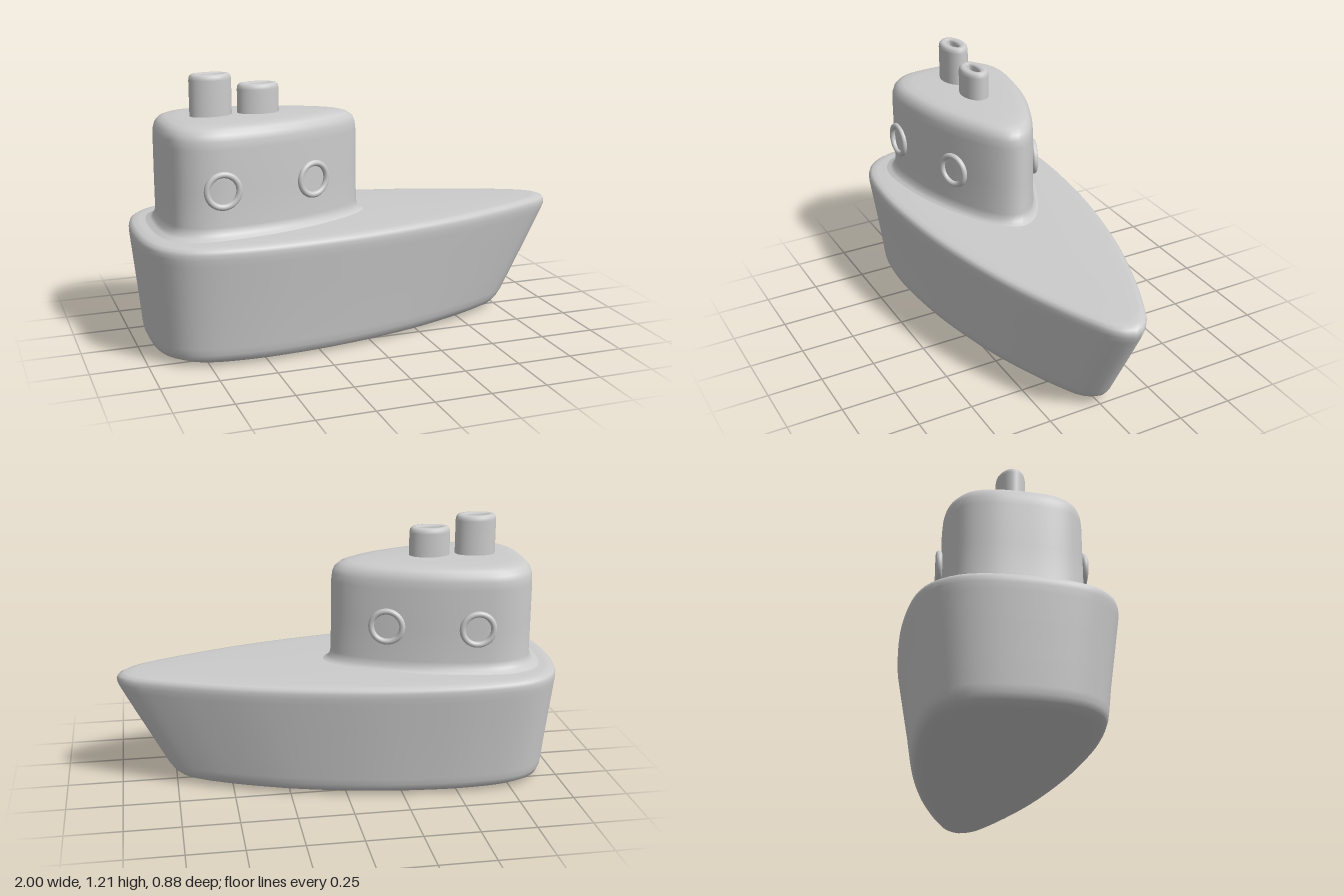
import * as THREE from 'three';

const material = new THREE.MeshStandardMaterial({ color: 0xcccccc });

// Closed smooth outline in plan from half its points (bow to stern), mirrored across z
function outline(half, count) {
  const mirrored = half.slice(1, -1).reverse().map(([x, z]) => [x, -z]);
  const points = [...half, ...mirrored].map(([x, z]) => new THREE.Vector3(x, 0, z));
  const curve = new THREE.CatmullRomCurve3(points, true, 'centripetal');
  return curve.getSpacedPoints(count).slice(0, count);
}

// Stack copies of a ring: each level is [y, xMin, xMax, zScale]
function loft(name, ring, levels) {
  const xs = ring.map((p) => p.x);
  const lo = Math.min(...xs), span = Math.max(...xs) - lo;
  const n = ring.length, positions = [], index = [];
  levels.forEach(([y, x0, x1, s], l) => {
    ring.forEach((p, i) => {
      positions.push(x0 + ((p.x - lo) / span) * (x1 - x0), y, p.z * s);
      if (l === 0) return;
      const j = (i + 1) % n, a = (l - 1) * n, b = l * n;
      index.push(a + i, b + i, a + j, a + j, b + i, b + j);
    });
  });
  const geometry = new THREE.BufferGeometry();
  geometry.setAttribute('position', new THREE.Float32BufferAttribute(positions, 3));
  geometry.setIndex(index);
  geometry.computeVertexNormals();
  const mesh = new THREE.Mesh(geometry, material);
  mesh.name = name;
  return mesh;
}

export function createModel() {
  const model = new THREE.Group();
  model.name = 'boat';

  // Hull: flared sides, raked bow, rounded bottom edge and deck edge
  const hullRing = outline([
    [1, 0], [0.985, 0.04], [0.94, 0.085], [0.85, 0.133], [0.7, 0.198], [0.4, 0.302], [0, 0.392],
    [-0.3, 0.428], [-0.55, 0.437], [-0.78, 0.412], [-0.88, 0.368], [-0.95, 0.29], [-0.985, 0.19], [-1, 0],
  ], 120);
  model.add(loft('hull', hullRing, [
    [0.005, -0.2, -0.2, 0],
    [0.006, -0.6, 0.3, 0.5],
    [0.012, -0.84, 0.6, 0.72],
    [0.02, -0.91, 0.68, 0.8],
    [0.035, -0.945, 0.73, 0.84],
    [0.06, -0.956, 0.762, 0.86],
    [0.09, -0.96, 0.783, 0.87],
    [0.2, -0.97, 0.842, 0.9],
    [0.35, -0.985, 0.922, 0.95],
    [0.47, -0.997, 0.985, 0.99],
    [0.5, -1, 0.998, 1],
    [0.52, -1, 1, 1],
    [0.535, -0.995, 0.992, 0.993],
    [0.545, -0.98, 0.97, 0.968],
    [0.549, -0.95, 0.93, 0.92],
    [0.552, -0.85, 0.75, 0.8],
    [0.556, -0.6, 0.2, 0.4],
    [0.556, -0.3, -0.3, 0],
  ]));

  // Cabin: fillet at the deck, upright wall, rounded roof edge
  const cabinRing = outline([
    [0.025, 0], [0.01, 0.045], [-0.05, 0.105], [-0.2, 0.185], [-0.4, 0.254], [-0.6, 0.288],
    [-0.7, 0.29], [-0.78, 0.268], [-0.84, 0.22], [-0.872, 0.14], [-0.882, 0],
  ], 96);
  model.add(loft('cabin', cabinRing, [
    [0.548, -0.93, 0.08, 1.15],
    [0.559, -0.905, 0.055, 1.08],
    [0.57, -0.892, 0.036, 1.03],
    [0.6, -0.882, 0.027, 1],
    [0.75, -0.882, 0.025, 1],
    [0.93, -0.881, 0.024, 1],
    [0.965, -0.879, 0.02, 0.99],
    [0.99, -0.872, 0.01, 0.965],
    [1.01, -0.855, -0.015, 0.91],
    [1.02, -0.83, -0.05, 0.84],
    [1.026, -0.78, -0.12, 0.7],
    [1.03, -0.62, -0.3, 0.3],
    [1.03, -0.48, -0.48, 0],
  ]));

  // Oval funnels with a narrow slot in the top
  const circle = Array.from({ length: 40 }, (_, i) => {
    const a = (i / 40) * Math.PI * 2;
    return new THREE.Vector3(Math.cos(a), 0, Math.sin(a));
  });
  for (const [name, x, top] of [['aftFunnel', -0.64, 1.21], ['foreFunnel', -0.427, 1.16]]) {
    const profile = [
      [1.0, 0.093, 0.062], [top - 0.025, 0.093, 0.062], [top - 0.01, 0.09, 0.059],
      [top - 0.002, 0.083, 0.052], [top, 0.072, 0.042], [top - 0.002, 0.06, 0.026],
      [top - 0.012, 0.051, 0.018], [top - 0.08, 0.05, 0.016], [top - 0.08, 0, 0],
    ];
    model.add(loft(name, circle, profile.map(([y, rx, rz]) => [y, x - rx, x + rx, rz])));
  }

  // Porthole rims, turned to lie on the curved walls
  const rim = new THREE.TorusGeometry(0.07, 0.0135, 14, 48);
  const portholes = [
    [-0.665, 0.294, 0.02], [-0.24, 0.206, 0.34],
    [-0.585, -0.298, Math.PI - 0.1], [-0.195, -0.19, Math.PI - 0.36],
  ];
  portholes.forEach(([x, z, turn], i) => {
    const ring = new THREE.Mesh(rim, material);
    ring.name = `portholeRim${i + 1}`;
    ring.position.set(x, 0.757, z);
    ring.rotation.y = turn;
    model.add(ring);
  });

  return model;
}
